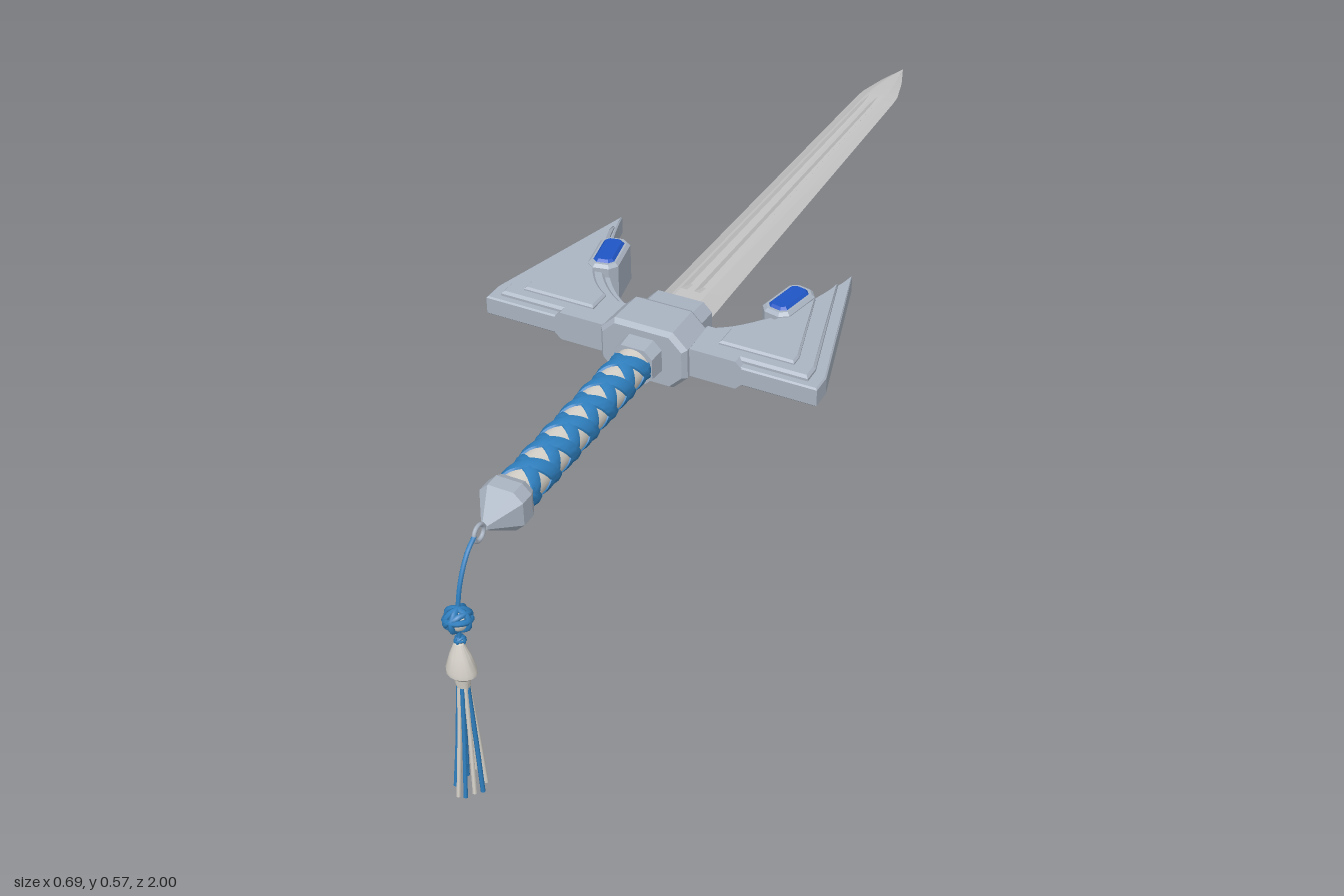
import * as THREE from 'three';
import { toCreasedNormals } from 'three/addons/utils/BufferGeometryUtils.js';

const mat = (name, color, side = THREE.FrontSide) => {
  const m = new THREE.MeshStandardMaterial({ color, side });
  m.name = name;
  return m;
};
const AXIS = 0.512; // height of the sword's long axis

// Skin a row of closed cross-sections; sections run counter-clockwise seen from the first one's side
function loft(rings, crease = 0.4) {
  const n = rings[0].length, pos = rings.flat(2), idx = [];
  for (let i = 0; i < rings.length - 1; i++) {
    for (let j = 0; j < n; j++) {
      const a = i * n + j, b = i * n + (j + 1) % n, c = a + n, d = b + n;
      idx.push(a, c, b, b, c, d);
    }
  }
  const e = (rings.length - 1) * n;
  for (let j = 1; j < n - 1; j++) idx.push(0, j, j + 1, e, e + j + 1, e + j);
  const g = new THREE.BufferGeometry();
  g.setAttribute('position', new THREE.Float32BufferAttribute(pos, 3));
  g.setIndex(idx);
  return toCreasedNormals(g, crease);
}

// Rectangle with cut corners, as a section at depth z
const octagon = (w, h, c, z) => [
  [w, -h + c, z], [w, h - c, z], [w - c, h, z], [-w + c, h, z],
  [-w, h - c, z], [-w, -h + c, z], [-w + c, -h, z], [w - c, -h, z]];

export function createModel() {
  const steel = mat('guardSteel', 0xaab4c2);
  const silver = mat('bladeSilver', 0xc4c4c4);
  const ivory = mat('ivory', 0xd6d2ca);
  const blue = mat('blueCord', 0x2f80c0, THREE.DoubleSide);
  const gemBlue = mat('gemBlue', 0x1f55c4);

  const model = new THREE.Group();
  const sword = new THREE.Group();
  sword.name = 'sword';
  sword.position.y = AXIS;
  model.add(sword);
  const add = (name, geo, material, parent = sword) => {
    const m = new THREE.Mesh(geo, material);
    m.name = name;
    parent.add(m);
    return m;
  };

  // Blade: z, half width, half thickness, groove depth
  const bladeRings = [
    [0.2, 0.062, 0.023, 0], [0.1, 0.061, 0.022, 0], [0.07, 0.06, 0.022, 0.007],
    [-0.78, 0.045, 0.012, 0.005], [-0.83, 0.044, 0.011, 0], [-0.86, 0.042, 0.01, 0],
    [-0.93, 0.025, 0.007, 0], [-1, 0.0005, 0.0005, 0],
  ].map(([z, w, h, d]) => {
    const half = [[0.5, h * 0.9], [0.38, h], [0.3, h - d], [0.16, h - d], [0.09, h]];
    const top = [...half, ...half.map(([x, y]) => [-x, y]).reverse()];
    return [[w, 0, z], ...top.map(([x, y]) => [x * w, y, z]), [-w, 0, z],
      ...top.map(([x, y]) => [x * w, -y, z]).reverse()];
  });
  add('blade', loft(bladeRings, 0.2), silver);

  // Hub, blade collar, grip collar and pommel
  add('hub', loft([octagon(0.082, 0.054, 0.026, 0.305), octagon(0.09, 0.061, 0.03, 0.295),
    octagon(0.088, 0.059, 0.03, 0.215), octagon(0.076, 0.05, 0.026, 0.2)]), steel);
  add('bladeCollar', loft([octagon(0.068, 0.042, 0.02, 0.21), octagon(0.066, 0.036, 0.018, 0.145),
    octagon(0.058, 0.03, 0.015, 0.14)]), steel);
  add('gripCollar', loft([octagon(0.04, 0.037, 0.016, 0.34), octagon(0.042, 0.04, 0.017, 0.3)]), steel);
  add('pommel', loft([octagon(0.006, 0.006, 0.0025, 0.855), octagon(0.042, 0.04, 0.017, 0.8),
    octagon(0.042, 0.04, 0.017, 0.772), octagon(0.036, 0.034, 0.014, 0.758)]), steel);

  // Grip core with crossing ribbons
  const core = new THREE.CylinderGeometry(0.034, 0.034, 0.44, 24);
  core.rotateX(Math.PI / 2);
  add('gripCore', core, ivory).position.z = 0.55;
  const pitch = 0.134, z0 = 0.34, z1 = 0.762, steps = 110;
  for (const dir of [1, -1]) {
    for (const phase of [0, Math.PI]) {
      const rings = [];
      for (let i = 0; i <= steps; i++) {
        const zc = z1 + (z0 - z1) * i / steps;
        const a = dir * (zc - 0.55) / pitch * Math.PI * 2 + phase;
        const lift = 0.0008 * dir;
        rings.push([[-0.016, 0.032], [-0.014, 0.037], [0, 0.0395], [0.014, 0.037], [0.016, 0.032]]
          .map(([s, r]) => [Math.cos(a) * (r + lift), Math.sin(a) * (r + lift),
            THREE.MathUtils.clamp(zc + s * dir, z0, z1)]));
      }
      add('gripWrap', loft(rings, 0.7), blue);
    }
  }

  // Guard wings: stacked plates, arm and jewel, mirrored
  const plate = (pts, halfThick, bevel) => {
    const g = new THREE.ExtrudeGeometry(pts, {
      depth: 2 * (halfThick - bevel), bevelEnabled: true, bevelThickness: bevel,
      bevelSize: bevel, bevelOffset: -bevel, bevelSegments: 1, curveSegments: 16,
    });
    g.translate(0, 0, -(halfThick - bevel));
    g.rotateX(Math.PI / 2);
    return g;
  };
  for (const s of [1, -1]) {
    const wing = new THREE.Group();
    wing.name = s > 0 ? 'leftWing' : 'rightWing';
    sword.add(wing);
    const outline = (k) => {
      const p = (x, z) => [s * (0.2 + (x - 0.2) * k), 0.2 + (z - 0.2) * k];
      const shape = new THREE.Shape();
      shape.moveTo(...p(0.08, 0.288));
      shape.lineTo(...p(0.345, 0.288));
      shape.lineTo(...p(0.345, 0.245));
      shape.lineTo(...p(0.254, -0.09));
      shape.quadraticCurveTo(...p(0.2, 0.13), ...p(0.08, 0.2));
      shape.closePath();
      return shape;
    };
    [[1, 0.02, 0.003], [0.83, 0.03, 0.005], [0.57, 0.037, 0.004]].forEach(([k, h, b]) =>
      add('wingPlate', plate(outline(k), h, b), steel, wing));
    const arm = add('wingArm', loft([octagon(0.06, 0.03, 0.012, 0.288), octagon(0.06, 0.03, 0.012, 0.205)]), steel, wing);
    arm.position.x = s * 0.135;

    const jewel = new THREE.Group();
    jewel.name = 'jewel';
    jewel.position.set(s * 0.193, 0, 0.075);
    jewel.rotation.y = -s * 0.2;
    wing.add(jewel);
    const cut = (w, h, c) => new THREE.Shape(octagon(w, h, c, 0).map(([x, y]) => new THREE.Vector2(x, y)));
    add('jewelSetting', plate(cut(0.031, 0.056, 0.015), 0.045, 0.006), steel, jewel);
    add('gem', plate(cut(0.022, 0.045, 0.01), 0.05, 0.006), gemBlue, jewel);
  }

  // Ring and hanging cord
  const tassel = new THREE.Group();
  tassel.name = 'tassel';
  model.add(tassel);
  const tube = (pts, r, n = 16) => new THREE.TubeGeometry(
    new THREE.CatmullRomCurve3(pts.map((p) => new THREE.Vector3(...p))), n, r, 6);
  const ring = add('pommelRing', new THREE.TorusGeometry(0.015, 0.004, 8, 20), steel, tassel);
  ring.rotation.y = Math.PI / 2;
  ring.position.set(0, AXIS, 0.872);
  add('cord', tube([[0, 0.515, 0.885], [0, 0.5, 0.908], [0, 0.46, 0.935], [0, 0.41, 0.95], [0, 0.335, 0.955]], 0.0045, 24), blue, tassel);

  // Knots: bead wrapped by loops
  for (const [y, r] of [[0.39, 0.022], [0.343, 0.009]]) {
    const knot = new THREE.Group();
    knot.name = 'knot';
    knot.position.set(0, y, 0.953);
    tassel.add(knot);
    add('knotBead', new THREE.SphereGeometry(r * 0.95, 12, 8), ivory, knot);
    for (let i = 0; i < 5; i++) {
      const loop = add('knotLoop', new THREE.TorusGeometry(r, r * 0.25, 6, 18), blue, knot);
      loop.rotation.set(i * 1.1, i * 0.75, 0);
    }
  }

  // Bell-shaped cap
  const bell = new THREE.LatheGeometry([[0, 0.239], [0.012, 0.239], [0.016, 0.263], [0.028, 0.275], [0.028, 0.284],
    [0.019, 0.315], [0.009, 0.34], [0, 0.343]].map(([x, y]) => new THREE.Vector2(x, y)), 16);
  const cap = add('tasselCap', toCreasedNormals(bell, 0.5), ivory, tassel);
  cap.scale.z = 0.8;
  cap.position.z = 0.957;

  // Strands fan out to the ground
  const count = 10;
  for (let i = 0; i < count; i++) {
    const a = i / count * Math.PI * 2, c = Math.cos(a), d = Math.sin(a);
    const foot = 0.004 + 0.016 * ((i * 7) % count) / count;
    add('strand', tube([[c * 0.009, 0.245, 0.957 + d * 0.008], [c * 0.016, 0.13, 0.959 + d * 0.019],
      [c * 0.024, foot, 0.964 + d * 0.031]], 0.0042, 8), i % 2 ? ivory : blue, tassel);
  }
  return model;
}
